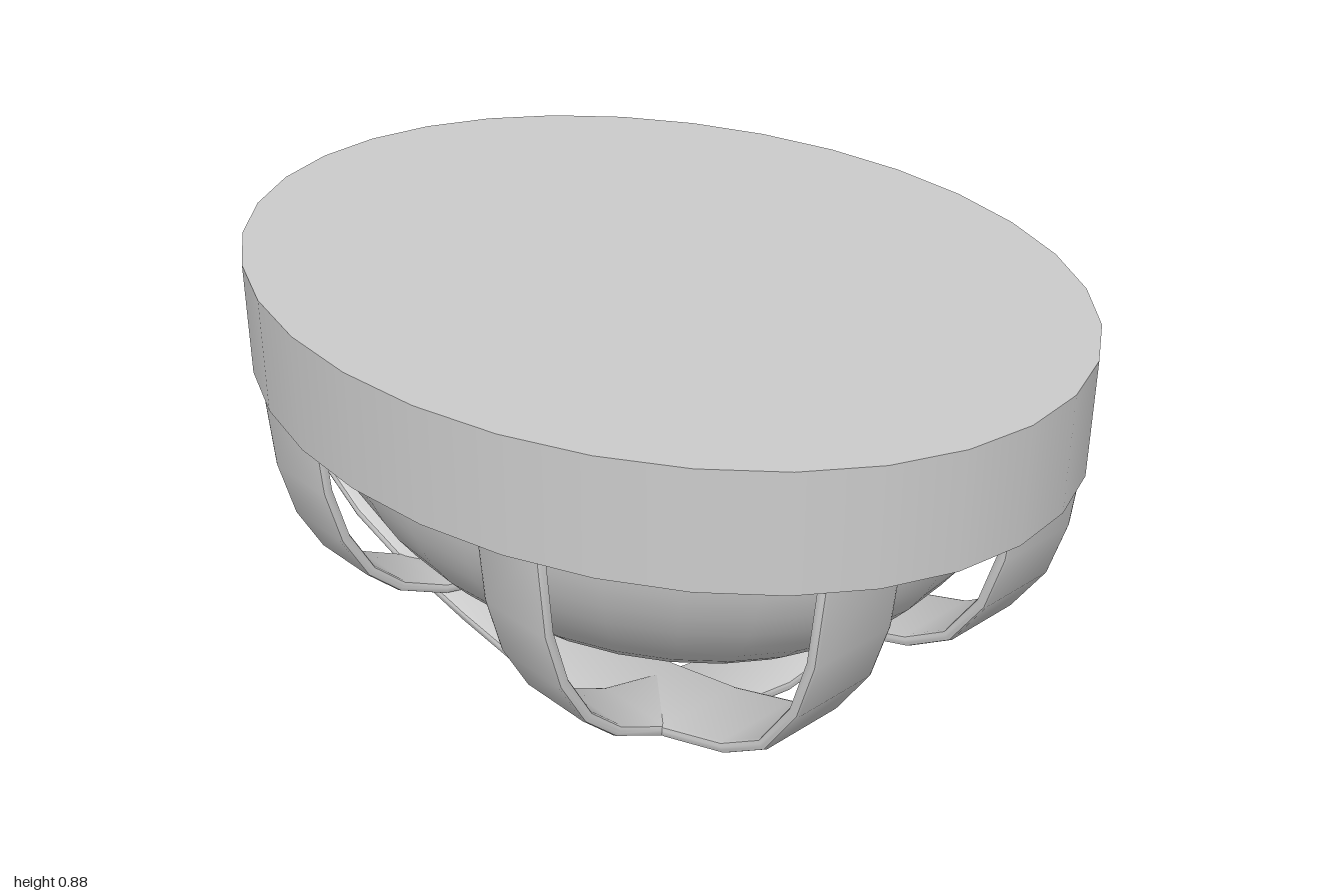
import * as THREE from 'three';
import { toCreasedNormals } from 'three/addons/utils/BufferGeometryUtils.js';

const material = new THREE.MeshStandardMaterial({ color: 0xcccccc, side: THREE.DoubleSide });

// Curved guard strap: a bowl-shaped profile of constant thickness, extruded to its width
function strapGeometry(half, width, thickness) {
  const left = half.map(([u, y]) => new THREE.Vector2(-u, y));
  const right = half.slice(0, -1).reverse().map(([u, y]) => new THREE.Vector2(u, y));
  const outer = [...left, ...right];
  const inner = outer.map((p, i) => {
    const a = outer[Math.max(i - 1, 0)];
    const b = outer[Math.min(i + 1, outer.length - 1)];
    const d = b.clone().sub(a).normalize();
    return new THREE.Vector2(p.x - d.y * thickness, p.y + d.x * thickness);
  });
  const bevel = 0.009;
  const geometry = new THREE.ExtrudeGeometry(new THREE.Shape([...outer, ...inner.reverse()]), {
    depth: width - 2 * bevel,
    bevelThickness: bevel,
    bevelSize: bevel,
    bevelOffset: -bevel,
    bevelSegments: 2,
  });
  geometry.translate(0, 0, bevel - width / 2);
  return toCreasedNormals(geometry, 0.6);
}

export function createModel() {
  const group = new THREE.Group();
  const add = (name, geometry) => {
    const mesh = new THREE.Mesh(geometry, material);
    mesh.name = name;
    group.add(mesh);
    return mesh;
  };

  // Oval mounting base
  const base = add('base', new THREE.CylinderGeometry(1, 1, 0.25, 32));
  base.scale.set(0.78, 1, 1);
  base.position.y = 0.75;

  // Lower half of an ellipsoid
  const dome = add('dome', new THREE.SphereGeometry(1, 32, 16, 0, Math.PI * 2, Math.PI / 2, Math.PI / 2));
  dome.scale.set(0.675, 0.56, 0.85);
  dome.position.y = 0.626;

  // Straps running across the width
  const crossProfile = [[0.69, 0.64], [0.675, 0.45], [0.64, 0.32], [0.58, 0.21],
    [0.5, 0.135], [0.38, 0.075], [0.2, 0.032], [0, 0.004]];
  const crossGeometry = strapGeometry(crossProfile, 0.185, 0.025);
  for (const z of [0.352, -0.367]) {
    add('crossStrap', crossGeometry).position.z = z;
  }

  // Straps running along the length
  const longProfile = [[0.87, 0.64], [0.85, 0.45], [0.81, 0.32], [0.73, 0.2],
    [0.62, 0.13], [0.45, 0.075], [0.22, 0.03], [0, 0]];
  const longGeometry = strapGeometry(longProfile, 0.212, 0.025);
  for (const x of [0.273, -0.273]) {
    const strap = add('longStrap', longGeometry);
    strap.rotation.y = Math.PI / 2;
    strap.position.x = x;
  }
  return group;
}
